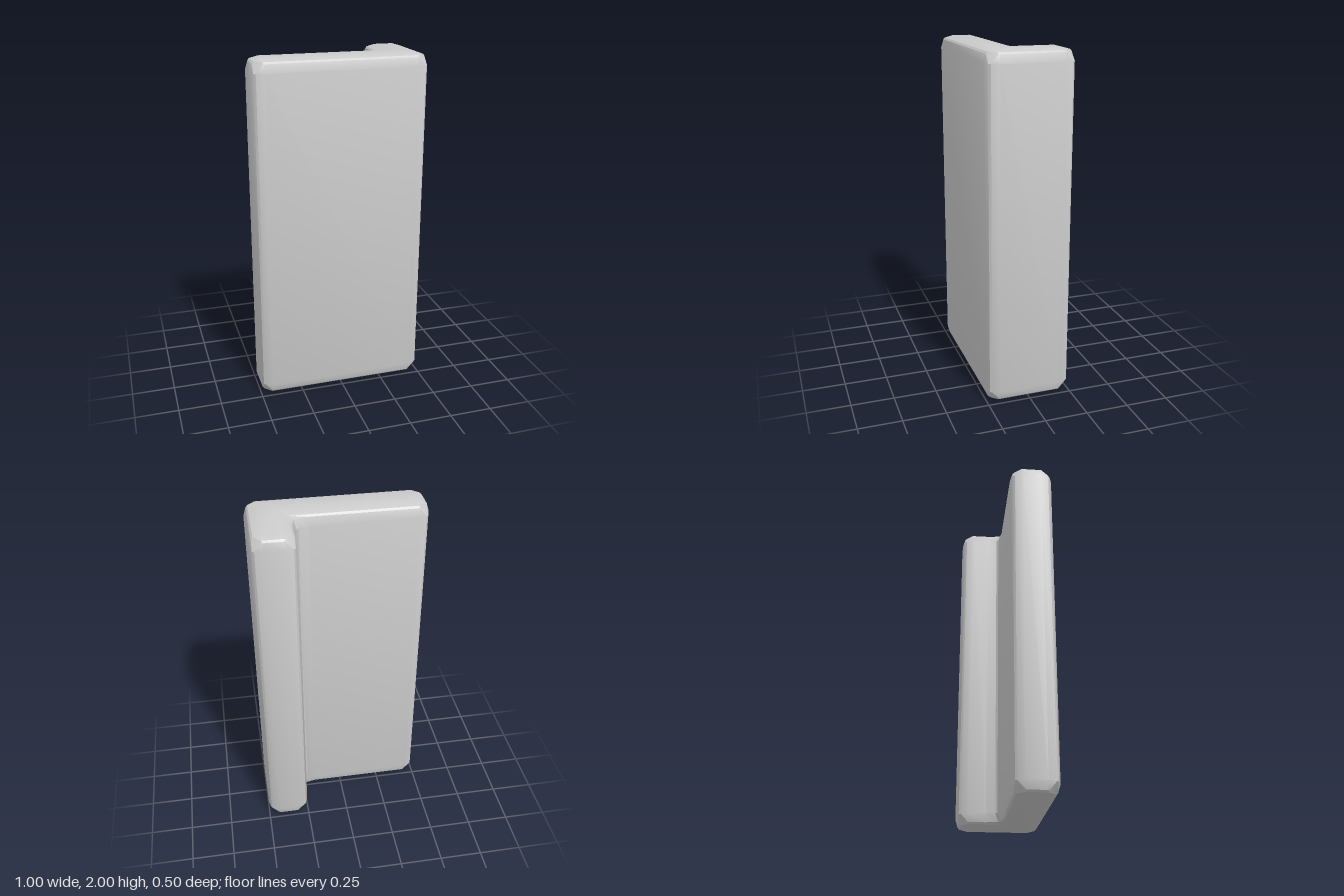
import * as THREE from 'three';
import { toCreasedNormals } from 'three/addons/utils/BufferGeometryUtils.js';

// Sharp corners of the L plan as [x, z]
const PLAN = [[-0.5, 0], [0.25, 0], [0.25, -0.25], [0.5, -0.25], [0.5, 0.25], [-0.5, 0.25]];
const HEIGHT = 2;

// Bevel levels: distance from the end, then [along edge, inset] pairs for
// convex corners and for the single concave corner
const LEVELS = [
  { y: 0, convex: [[0.07, 0.07], [0.07, 0.07]], concave: [[-0.07, 0.07], [-0.07, 0.07]] },
  { y: 0.013, convex: [[0.07, 0.024], [0.065, 0.024]], concave: [[0.08, 0.024], [-0.022, 0.022]] },
  { y: 0.023, convex: [[0.07, 0.014], [0.065, 0.016]], concave: [[0.08, 0.014], [0.008, 0]] },
  { y: 0.07, convex: [[0.07, 0], [0.025, 0.014]], concave: [[0.08, 0], [0.026, -0.014]] },
];

// One horizontal outline: four points for every plan corner
function ring(level, y) {
  const points = [];
  PLAN.forEach(([cx, cz], i) => {
    const before = PLAN[(i + 5) % 6], after = PLAN[(i + 1) % 6];
    const c = new THREE.Vector3(cx, y, cz);
    const u = new THREE.Vector3(cx - before[0], 0, cz - before[1]).normalize();
    const v = new THREE.Vector3(after[0] - cx, 0, after[1] - cz).normalize();
    const isConvex = u.x * v.z - u.z * v.x > 0;
    const [p, q] = isConvex ? level.convex : level.concave;
    const s = isConvex ? 1 : -1;
    const incoming = ([a, b]) => c.clone().addScaledVector(u, -a).addScaledVector(v, s * b);
    const outgoing = ([a, b]) => c.clone().addScaledVector(v, a).addScaledVector(u, -s * b);
    points.push(incoming(p), incoming(q), outgoing(q), outgoing(p));
  });
  return points;
}

function bevelledL() {
  const rings = [
    ...LEVELS.map((l) => ring(l, l.y)),
    ...[...LEVELS].reverse().map((l) => ring(l, HEIGHT - l.y)),
  ];
  const positions = [];
  const triangle = (a, b, c) => {
    if (new THREE.Triangle(a, b, c).getArea() < 1e-8) return;
    for (const p of [a, b, c]) positions.push(p.x, p.y, p.z);
  };

  // Walls and bevels
  for (let r = 0; r < rings.length - 1; r++) {
    const low = rings[r], high = rings[r + 1];
    for (let i = 0; i < low.length; i++) {
      const j = (i + 1) % low.length;
      triangle(low[i], high[i], high[j]);
      triangle(low[i], high[j], low[j]);
    }
  }

  // Flat end faces, two quads each
  const bottom = rings[0], top = rings[rings.length - 1];
  for (const [a, b, c, d] of [[0, 1, 4, 5], [1, 2, 3, 4]]) {
    for (const [p, q, s] of [[a, b, c], [a, c, d]]) {
      triangle(bottom[p * 4], bottom[q * 4], bottom[s * 4]);
      triangle(top[p * 4], top[s * 4], top[q * 4]);
    }
  }

  const geometry = new THREE.BufferGeometry();
  geometry.setAttribute('position', new THREE.Float32BufferAttribute(positions, 3));
  return toCreasedNormals(geometry, 0.42);
}

export function createModel() {
  const group = new THREE.Group();
  group.name = 'cornerWall';
  const wall = new THREE.Mesh(bevelledL(), new THREE.MeshStandardMaterial({ color: 0xcccccc }));
  wall.name = 'bevelledWall';
  group.add(wall);
  return group;
}
